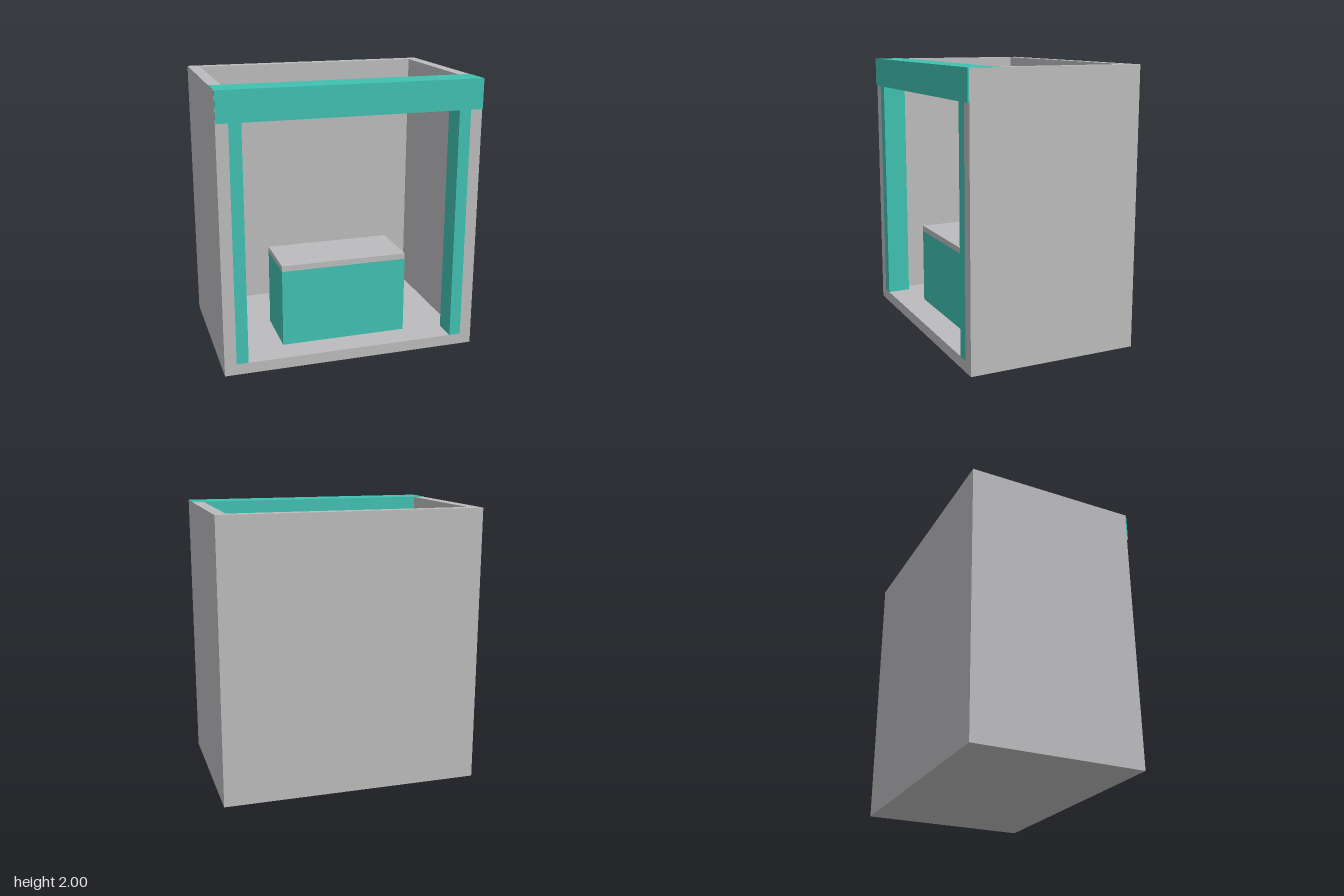
import * as THREE from 'three';

export function createModel() {
  const model = new THREE.Group();
  model.name = 'booth';

  const grey = new THREE.MeshStandardMaterial({ color: 0xbbbbbd });
  grey.name = 'light grey';
  const teal = new THREE.MeshStandardMaterial({ color: 0x40c0b0 });
  teal.name = 'teal';

  const add = (name, geometry, material) => {
    const mesh = new THREE.Mesh(geometry, material);
    mesh.name = name;
    model.add(mesh);
  };
  // Box given by its lower and upper limits on each axis
  const block = (name, material, [x0, x1], [y0, y1], [z0, z1]) => {
    const geometry = new THREE.BoxGeometry(x1 - x0, y1 - y0, z1 - z0);
    geometry.translate((x0 + x1) / 2, (y0 + y1) / 2, (z0 + z1) / 2);
    add(name, geometry, material);
  };

  const outer = 0.935, inner = 0.85, front = 0.62, back = -0.63, backInner = -0.545;
  const floorTop = 0.08, beamBottom = 1.785;

  // Side and back walls: a U-shaped plan raised to full height
  const plan = new THREE.Shape([
    [-outer, front], [-inner, front], [-inner, backInner], [inner, backInner],
    [inner, front], [outer, front], [outer, back], [-outer, back],
  ].map(([x, z]) => new THREE.Vector2(x, -z)));
  const walls = new THREE.ExtrudeGeometry(plan, { depth: 1.998, bevelEnabled: false });
  walls.rotateX(-Math.PI / 2);
  add('walls', walls, grey);

  block('floor', grey, [-inner, inner], [0, floorTop], [backInner, front]);

  // Beam across the open front, with a post under each end
  block('frontBeam', teal, [-0.934, 0.934], [beamBottom, 2], [0.41, 0.63]);
  block('rightPost', teal, [-inner, -0.765], [floorTop, beamBottom], [0.447, front]);
  block('leftPost', teal, [0.765, inner], [floorTop, beamBottom], [0.447, front]);

  // Counter with a flush top slab
  block('counterBody', teal, [-0.468, 0.468], [floorTop, 0.65], [-0.01, 0.42]);
  block('counterTop', grey, [-0.468, 0.468], [0.65, 0.693], [-0.01, 0.42]);

  return model;
}
